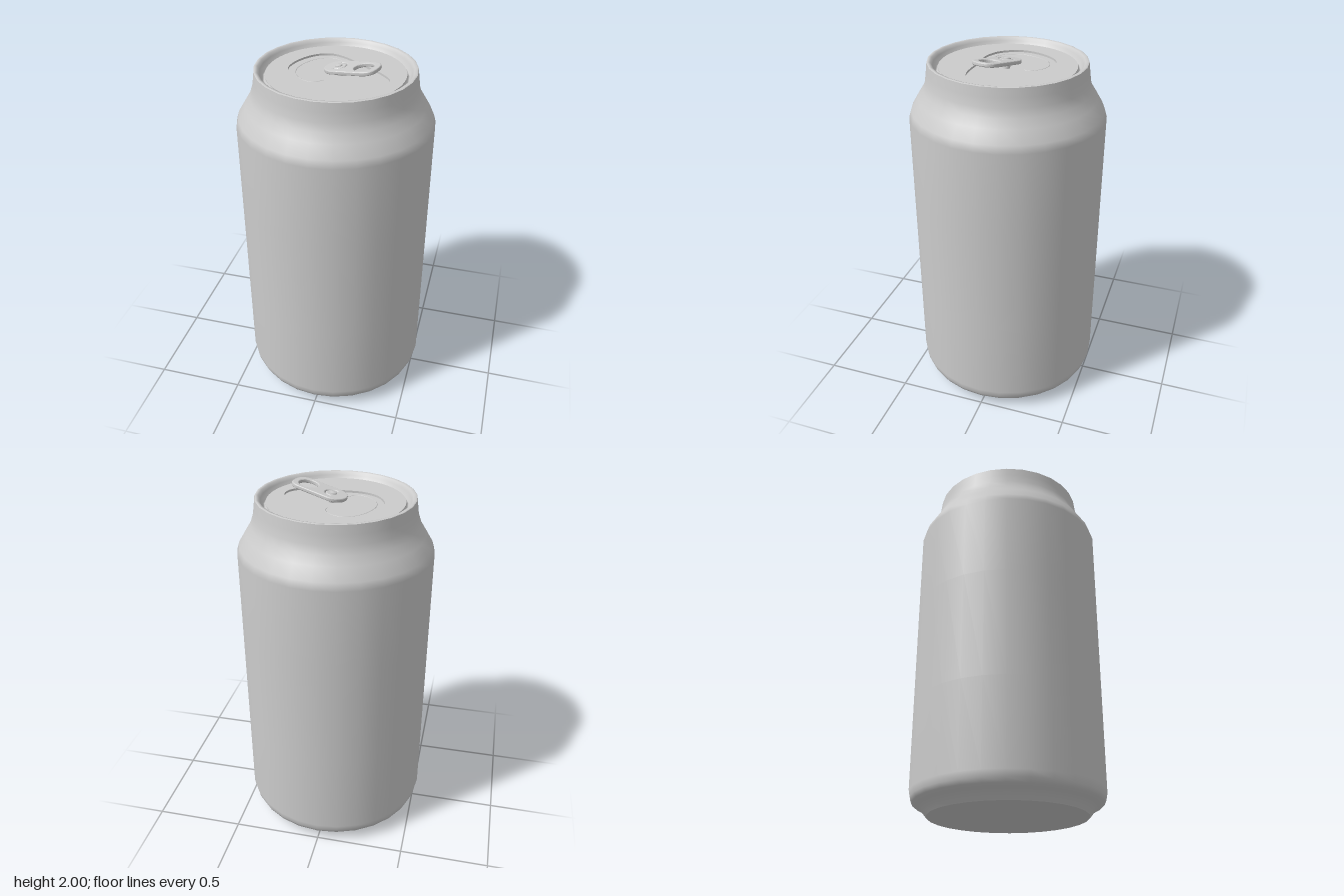
import * as THREE from 'three';

const material = new THREE.MeshStandardMaterial({ color: 0xcccccc });
const SIDES = 28;
const LID_Y = 1.922;
const PANEL_DEPTH = 0.012;

function addMesh(parent, name, geometry) {
  const mesh = new THREE.Mesh(geometry, material);
  mesh.name = name;
  parent.add(mesh);
  return mesh;
}

const vectors = (pairs) => pairs.map(([x, y]) => new THREE.Vector2(x, y));
const lathe = (pairs) => new THREE.LatheGeometry(vectors(pairs), SIDES);

// Shapes lie in the ground plane: shape y becomes -z, depth goes up
function flatExtrude(shape, options) {
  return new THREE.ExtrudeGeometry(shape, options).rotateX(-Math.PI / 2);
}

function circle(x, y, r) {
  return new THREE.Path().absarc(x, y, r, 0, Math.PI * 2, true);
}

function createTab() {
  const tab = new THREE.Group();
  tab.name = 'pullTab';

  // Rounded outline, with bevel making up the full width
  const r = 0.068;
  const outline = new THREE.Shape();
  outline.absarc(0, 0, r, Math.PI / 2, Math.PI * 1.5, false);
  outline.lineTo(0.165, -r);
  outline.bezierCurveTo(0.215, -r, 0.23, -0.045, 0.23, 0);
  outline.bezierCurveTo(0.23, 0.045, 0.215, r, 0.165, r);

  // Finger hole and the curved slot round the rivet tongue
  const slot = new THREE.Path();
  slot.absarc(0.005, 0, 0.048, -1.9, 1.9, false);
  slot.absarc(0.005, 0, 0.032, 1.9, -1.9, true);
  slot.closePath();
  outline.holes.push(circle(0.153, 0, 0.058), slot);

  const plate = addMesh(tab, 'tabPlate', flatExtrude(outline, {
    depth: 0.009, bevelSize: 0.006, bevelThickness: 0.006, bevelSegments: 3, curveSegments: 16,
  }));
  plate.position.y = 0.006;

  // Rivet holding the tab to the lid
  const rivet = addMesh(tab, 'rivet', new THREE.LatheGeometry(vectors([
    [0.02, -0.03], [0.02, 0.022], [0.015, 0.026], [0, 0.028],
  ]), 16));
  rivet.position.x = 0.003;

  tab.position.set(0.015, 1.937, 0);
  tab.rotation.set(0.04, -0.31, 0.175, 'YZX');
  return tab;
}

export function createModel() {
  const can = new THREE.Group();
  can.name = 'can';

  // Closed base
  addMesh(can, 'base', lathe([[0, 0.004], [0.22, 0.002], [0.43, 0]]));

  // Foot, wall, shoulder and neck
  addMesh(can, 'body', lathe([
    [0.43, 0], [0.45, 0.025], [0.48, 0.052], [0.508, 0.066], [0.519, 0.09],
    [0.526, 0.125], [0.526, 0.6], [0.526, 1.2], [0.526, 1.655], [0.514, 1.695],
    [0.475, 1.76], [0.447, 1.805], [0.432, 1.85], [0.425, 1.9], [0.419, 1.948],
  ]));

  // Rolled rim and the groove inside it
  addMesh(can, 'rim', lathe([
    [0.419, 1.948], [0.412, 1.951], [0.4, 1.948], [0.39, 1.932], [0.376, 1.904],
    [0.368, 1.904], [0.362, LID_Y],
  ]));

  // Lid with a teardrop recess
  const teardrop = new THREE.CatmullRomCurve3([
    [-0.255, 0], [-0.228, -0.12], [-0.155, -0.21], [-0.08, -0.234], [0, -0.206],
    [0.1, -0.135], [0.235, -0.035], [0.287, 0.035], [0.272, 0.11], [0.2, 0.155],
    [0.02, 0.158], [-0.12, 0.153], [-0.205, 0.105],
  ].map(([x, z]) => new THREE.Vector3(x, -z, 0)), true);
  const lid = new THREE.Shape().absarc(0, 0, 0.362, 0, Math.PI * 2, false);
  lid.holes.push(new THREE.Path(teardrop.getPoints(64).slice(0, -1).map((p) => new THREE.Vector2(p.x, p.y))));
  addMesh(can, 'lid', flatExtrude(lid, { depth: PANEL_DEPTH, bevelEnabled: false, curveSegments: SIDES }))
    .position.y = LID_Y - PANEL_DEPTH;
  addMesh(can, 'recessFloor', new THREE.CircleGeometry(0.362, SIDES).rotateX(-Math.PI / 2))
    .position.y = LID_Y - PANEL_DEPTH + 0.001;

  // Score line round the mouth
  const score = new THREE.CatmullRomCurve3([
    [0.025, -0.095], [0.028, -0.13], [-0.015, -0.18], [-0.08, -0.2], [-0.16, -0.155],
    [-0.214, -0.03], [-0.195, 0.06], [-0.14, 0.115], [-0.08, 0.124], [-0.042, 0.09],
  ].map(([x, z]) => new THREE.Vector3(x, LID_Y - PANEL_DEPTH, z)));
  addMesh(can, 'scoreLine', new THREE.TubeGeometry(score, 48, 0.003, 6));

  can.add(createTab());
  return can;
}
